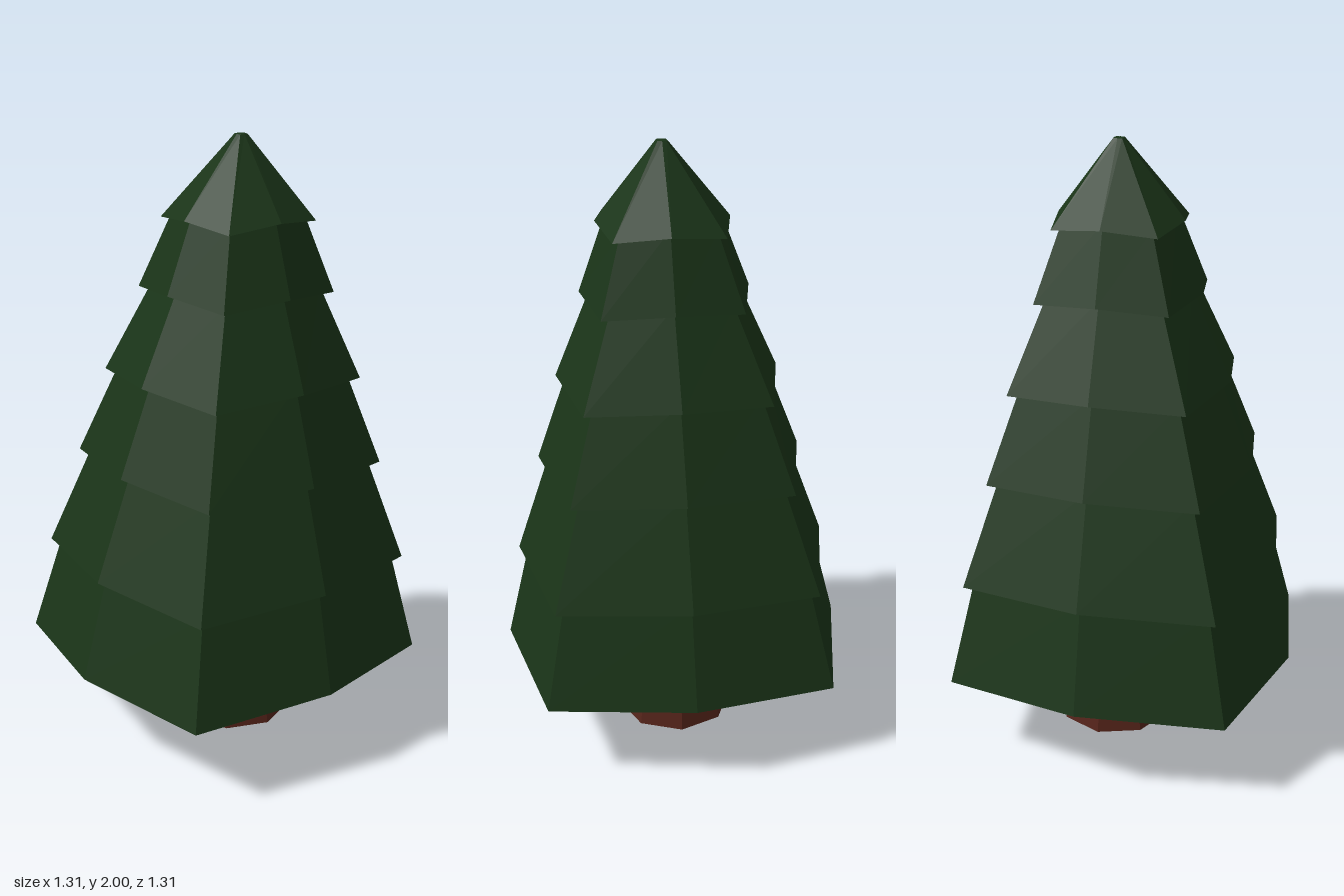
import * as THREE from 'three';

// Eight-sided surface swept through rings [y, radius, centreX, centreZ, cornerLift],
// listed from the underside upwards. squash shrinks the diagonal corners.
function octagonSweep(rings, squash) {
  const SIDES = 8, pos = [], index = [];
  for (const [y, r, cx, cz, lift] of rings) {
    for (let i = 0; i < SIDES; i++) {
      const a = (i / SIDES) * Math.PI * 2;
      const diagonal = i % 2 === 1;
      const rad = diagonal ? r * squash : r;
      pos.push(cx + Math.sin(a) * rad, y + (diagonal ? lift : 0), cz + Math.cos(a) * rad);
    }
  }
  for (let k = 0; k < rings.length - 1; k++) {
    for (let i = 0; i < SIDES; i++) {
      const j = (i + 1) % SIDES;
      const a = k * SIDES + i, b = k * SIDES + j;
      index.push(a, b, b + SIDES, a, b + SIDES, a + SIDES);
    }
  }
  const geo = new THREE.BufferGeometry();
  geo.setAttribute('position', new THREE.Float32BufferAttribute(pos, 3));
  geo.setIndex(index);
  const flat = geo.toNonIndexed();
  flat.computeVertexNormals();
  return flat;
}

function part(name, geometry, color) {
  const mesh = new THREE.Mesh(geometry, new THREE.MeshStandardMaterial({ color, flatShading: true }));
  mesh.name = name;
  return mesh;
}

export function createModel() {
  const tree = new THREE.Group();
  tree.name = 'pineTree';

  // Tiers: rim height, rim radius, radius at the top of the tier, centre x
  const tiers = [
    [0.28, 0.655, 0.555, 0.0],
    [0.61, 0.595, 0.452, 0.01],
    [0.945, 0.497, 0.368, 0.022],
    [1.23, 0.413, 0.266, 0.033],
    [1.51, 0.31, 0.207, 0.045],
    [1.735, 0.243, 0.02, 0.052],
  ];
  // Recessed underside of the lowest tier
  const rings = [
    [0.345, 0.001, 0, 0, 0],
    [0.345, 0.615, 0, 0, 0],
  ];
  // Sloping skirt of each tier, tucked under the rim of the next
  tiers.forEach(([y, rim, top, cx], i) => {
    const next = tiers[i + 1];
    rings.push([y, rim, cx, 0, 0.02]);
    if (next) rings.push([next[0] + 0.017, top, next[3], 0, 0.02]);
  });
  // Blunt tip
  rings.push([1.997, 0.02, 0.06, -0.003, 0], [2, 0.001, 0.06, -0.003, 0]);
  tree.add(part('foliage', octagonSweep(rings, 0.86), 0x1a3418));

  // Trunk: waisted, closed at the ground
  const trunk = [[0, 0.001], [0, 0.191], [0.2, 0.159], [0.36, 0.19]]
    .map(([y, r]) => [y, r, 0.037, -0.035, 0]);
  tree.add(part('trunk', octagonSweep(trunk, 1), 0x55241a));

  return tree;
}
